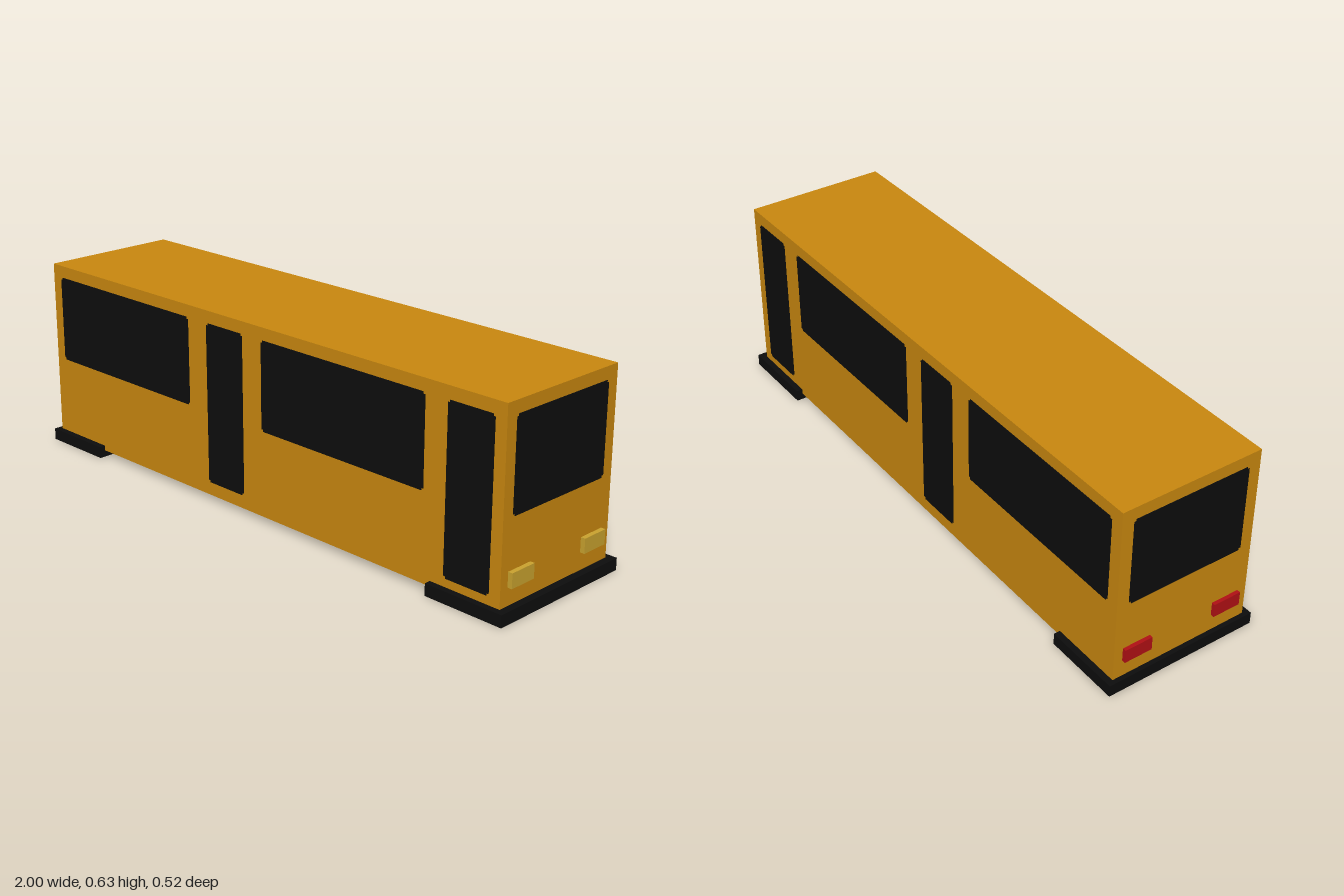
import * as THREE from 'three';

const mat = (name, color) => Object.assign(new THREE.MeshStandardMaterial({ color }), { name });

export function createModel() {
  const paint = mat('orange paint', 0xc8870f);
  const black = mat('black', 0x0d0d0d);
  const amber = mat('headlight yellow', 0xc9a22f);
  const red = mat('tail light red', 0xb01014);
  const group = new THREE.Group();

  // Box given by its lower and upper corners
  function box(name, material, [x0, y0, z0], [x1, y1, z1]) {
    const mesh = new THREE.Mesh(new THREE.BoxGeometry(x1 - x0, y1 - y0, z1 - z0), material);
    mesh.position.set((x0 + x1) / 2, (y0 + y1) / 2, (z0 + z1) / 2);
    mesh.name = name;
    group.add(mesh);
  }

  // Thin pane with small stepped corners, facing +z before it is turned
  function pane(name, width, y0, y1, position, turn) {
    const w = width / 2, h = (y1 - y0) / 2, n = 0.007;
    const outline = [
      [-w + n, -h], [w - n, -h], [w - n, -h + n], [w, -h + n], [w, h - n], [w - n, h - n],
      [w - n, h], [-w + n, h], [-w + n, h - n], [-w, h - n], [-w, -h + n], [-w + n, -h + n],
    ].map(([x, y]) => new THREE.Vector2(x, y));
    const geometry = new THREE.ExtrudeGeometry(new THREE.Shape(outline), { depth: 0.002, bevelEnabled: false });
    const mesh = new THREE.Mesh(geometry, black);
    mesh.position.set(position[0], (y0 + y1) / 2, position[1]);
    mesh.rotation.y = turn;
    mesh.name = name;
    group.add(mesh);
  }

  // Body shell
  box('body', paint, [-0.985, 0.022, -0.239], [0.975, 0.63, 0.239]);

  // Low bumper slabs under both ends
  box('frontBumper', black, [0.725, 0, -0.26], [1, 0.039, 0.26]);
  box('rearBumper', black, [-1, 0, -0.26], [-0.745, 0.039, 0.26]);

  // Side windows and doors, the same on both sides
  for (const s of [1, -1]) {
    const turn = s > 0 ? 0 : Math.PI;
    for (const x of [-0.618, 0.366]) pane('sideWindow', 0.652, 0.302, 0.59, [x, s * 0.239], turn);
    for (const x of [-0.125, 0.855]) pane('door', 0.162, 0.066, 0.59, [x, s * 0.239], turn);
  }

  // End windows
  pane('windscreen', 0.398, 0.3, 0.59, [0.975, 0], Math.PI / 2);
  pane('rearWindow', 0.398, 0.3, 0.59, [-0.985, 0], -Math.PI / 2);

  // Lights
  for (const s of [1, -1]) {
    const z0 = s * 0.161 - 0.0475, z1 = z0 + 0.095;
    box('headlight', amber, [0.97, 0.095, z0], [0.99, 0.142, z1]);
    box('tailLight', red, [-0.997, 0.097, z0], [-0.98, 0.142, z1]);
  }
  return group;
}
